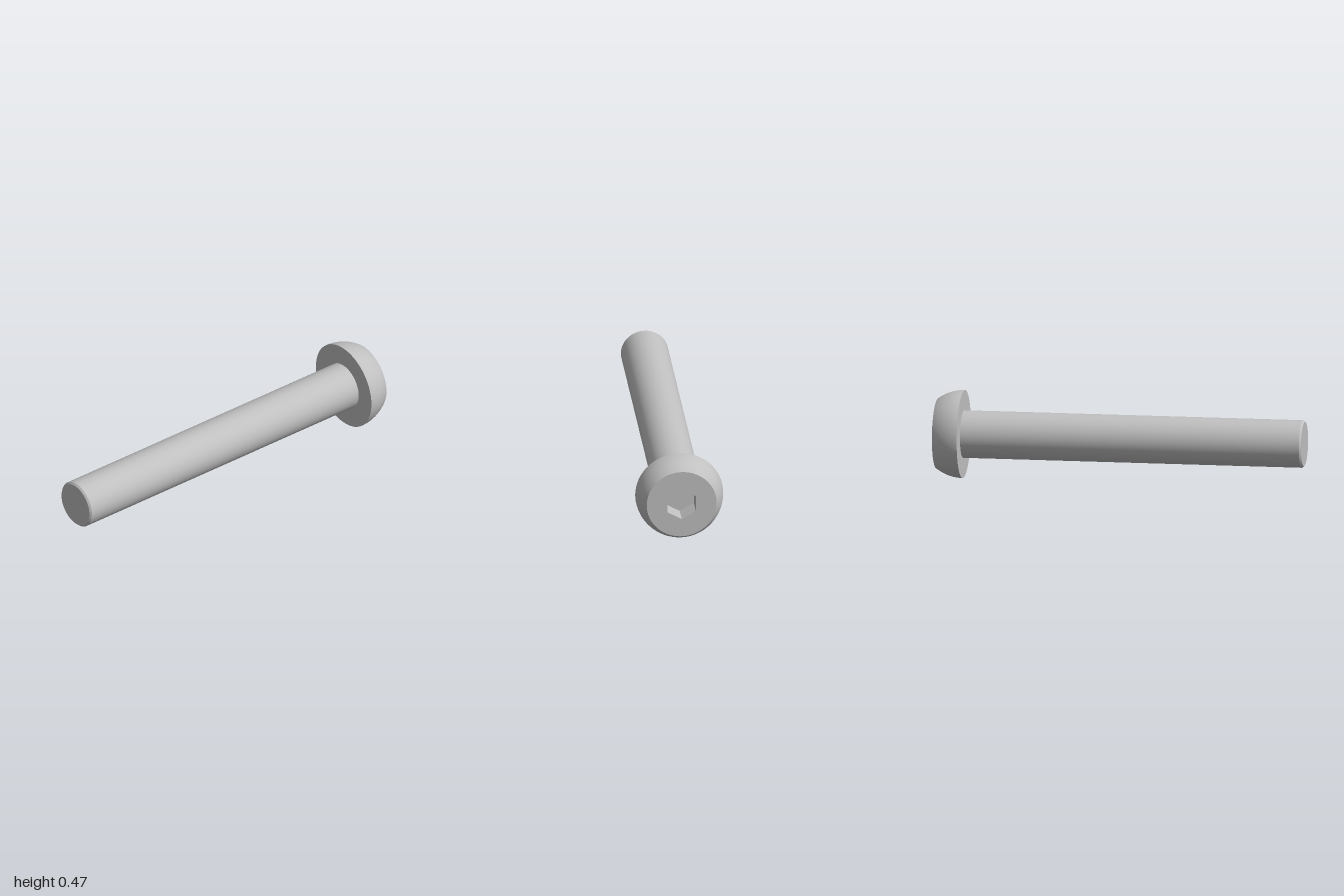
import * as THREE from 'three';

const HEAD_R = 0.237, FACE_R = 0.189, SHANK_R = 0.128, TIP_R = 0.119;
const BACK = -1, SEAT = -0.857, FRONT = 1, CHAMFER = 0.01;
const HEX_R = 0.088, HEX_DEPTH = 0.107, SEGMENTS = 96;

export function createModel() {
  const steel = new THREE.MeshStandardMaterial({ color: 0xc0c0c0 });
  steel.name = 'steel grey';

  const screw = new THREE.Group();
  screw.name = 'screw';
  const head = new THREE.Group();
  head.name = 'head';
  const shank = new THREE.Group();
  shank.name = 'shank';
  screw.add(head, shank);
  screw.position.y = HEAD_R;

  const add = (parent, name, geometry) => {
    const mesh = new THREE.Mesh(geometry, steel);
    mesh.name = name;
    parent.add(mesh);
  };
  // Turned surface about z from [radius, z] points, ordered back to front
  const turned = (points) => new THREE.LatheGeometry(
    points.map(([r, z]) => new THREE.Vector2(r, z)), SEGMENTS).rotateX(Math.PI / 2);

  // Domed head: a band of a sphere centred on the bearing face
  const dome = [];
  const sweep = Math.acos(FACE_R / HEAD_R);
  for (let i = 0; i <= 16; i++) {
    const a = sweep * (1 - i / 16);
    dome.push([HEAD_R * Math.cos(a), SEAT + (BACK - SEAT) * Math.sin(a) / Math.sin(sweep)]);
  }
  add(head, 'dome', turned(dome));
  add(head, 'bearingFace', turned([[HEAD_R, SEAT], [SHANK_R, SEAT]]));

  // Flat end of the head with a hexagonal opening
  const face = new THREE.Shape().absarc(0, 0, FACE_R, 0, Math.PI * 2);
  const hexagon = [];
  for (let i = 0; i < 6; i++) {
    const a = Math.PI / 2 + i * Math.PI / 3;
    hexagon.push(new THREE.Vector2(HEX_R * Math.cos(a), HEX_R * Math.sin(a)));
  }
  face.holes.push(new THREE.Path(hexagon));
  add(head, 'headFace', new THREE.ShapeGeometry(face, SEGMENTS)
    .rotateY(Math.PI).translate(0, 0, BACK));

  // Socket walls, mirrored so that they face inwards, and the floor
  const walls = new THREE.CylinderGeometry(HEX_R, HEX_R, HEX_DEPTH, 6, 1, true)
    .toNonIndexed().rotateX(Math.PI / 2).scale(-1, 1, 1)
    .translate(0, 0, BACK + HEX_DEPTH / 2);
  walls.computeVertexNormals();
  add(head, 'socketWalls', walls);
  add(head, 'socketFloor', new THREE.CircleGeometry(HEX_R, 6, Math.PI / 2)
    .rotateY(Math.PI).translate(0, 0, BACK + HEX_DEPTH));

  // Plain shank with a small chamfer at the tip
  add(shank, 'shaft', turned([[SHANK_R, SEAT], [SHANK_R, FRONT - CHAMFER]]));
  add(shank, 'tipChamfer', turned([[SHANK_R, FRONT - CHAMFER], [TIP_R, FRONT]]));
  add(shank, 'tipFace', new THREE.CircleGeometry(TIP_R, SEGMENTS).translate(0, 0, FRONT));

  const model = new THREE.Group();
  model.name = 'socketScrew';
  model.add(screw);
  return model;
}
